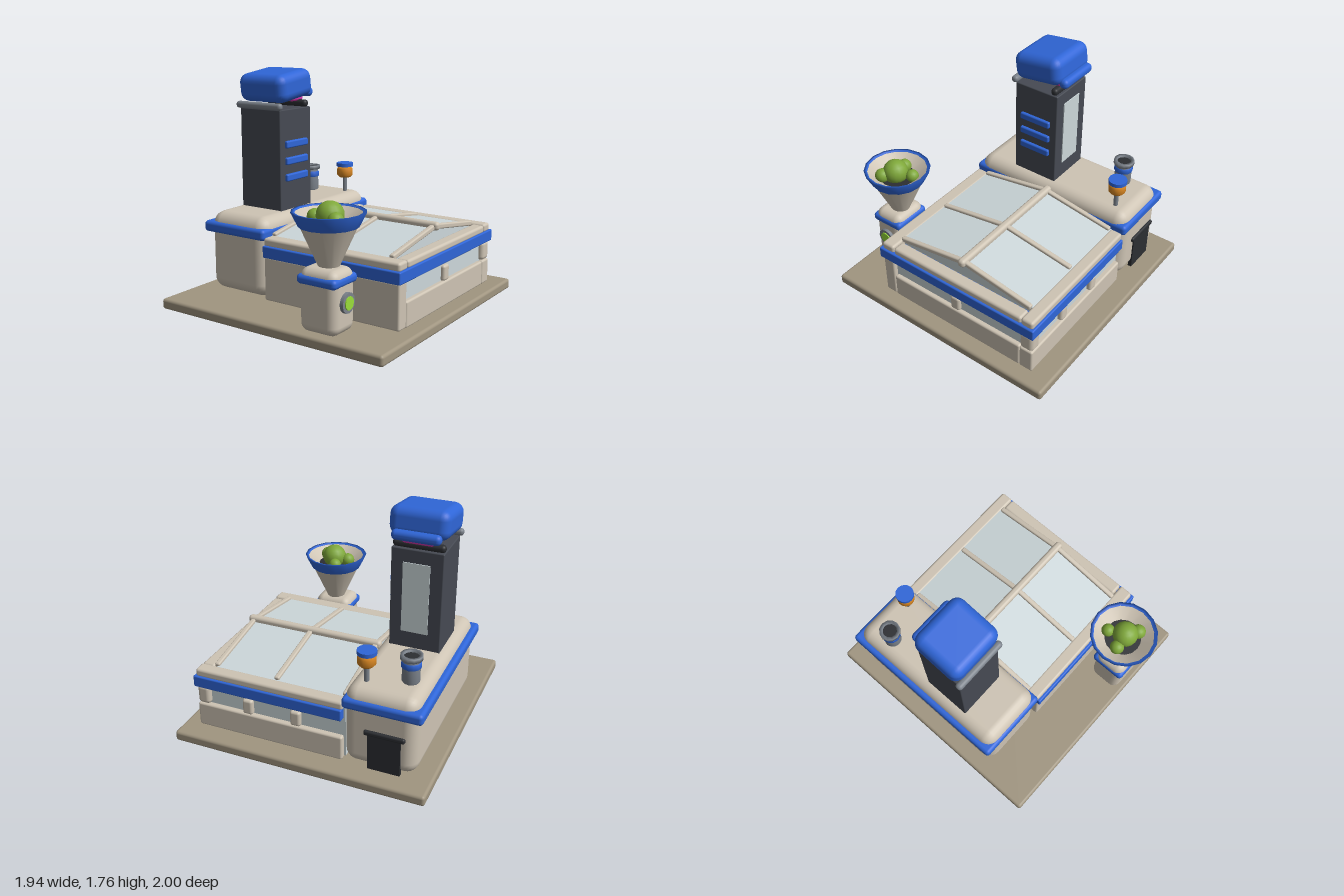
import * as THREE from 'three';
import { RoundedBoxGeometry } from 'three/addons/geometries/RoundedBoxGeometry.js';

const mat = (color, extra = {}) => new THREE.MeshStandardMaterial({ color, ...extra });
const M = {
  cream: mat(0xcec4b4), base: mat(0xa09580), blue: mat(0x2f66d8), glass: mat(0xcdd8db),
  slate: mat(0x464a53), grey: mat(0x7c838c), black: mat(0x2c2e32), orange: mat(0xd98722),
  green: mat(0x7fa83a), lime: mat(0x9ade3a), pink: mat(0xe03ab4),
  creamOpen: mat(0xcec4b4, { side: THREE.DoubleSide }),
  blueOpen: mat(0x2f66d8, { side: THREE.DoubleSide }),
  greyOpen: mat(0x7c838c, { side: THREE.DoubleSide }),
  glassOpen: mat(0xcdd8db, { side: THREE.DoubleSide }),
};

export function createModel() {
  const root = new THREE.Group();
  root.name = 'greenhouseWorkshop';

  const add = (parent, name, geo, material, x = 0, y = 0, z = 0) => {
    const m = new THREE.Mesh(geo, material);
    m.name = name;
    m.position.set(x, y, z);
    parent.add(m);
    return m;
  };
  // Rounded box given by its limits on each axis
  const box = (parent, name, material, [x0, x1], [y0, y1], [z0, z1], r = 0.015) => {
    const w = x1 - x0, h = y1 - y0, d = z1 - z0;
    const geo = r > 0
      ? new RoundedBoxGeometry(w, h, d, 3, Math.min(r, w * 0.49, h * 0.49, d * 0.49))
      : new THREE.BoxGeometry(w, h, d);
    return add(parent, name, geo, material, (x0 + x1) / 2, (y0 + y1) / 2, (z0 + z1) / 2);
  };
  const cyl = (parent, name, material, rTop, rBottom, y0, y1, x, z, sides = 16) =>
    add(parent, name, new THREE.CylinderGeometry(rTop, rBottom, y1 - y0, sides), material, x, (y0 + y1) / 2, z);
  const lathe = (parent, name, material, points, x, z, sides = 16) =>
    add(parent, name, new THREE.LatheGeometry(points.map(p => new THREE.Vector2(...p)), sides), material, x, 0, z);
  const group = name => {
    const g = new THREE.Group();
    g.name = name;
    root.add(g);
    return g;
  };

  box(root, 'basePlate', M.base, [-0.97, 0.97], [0, 0.08], [-1, 0.94], 0.022);

  // Machine house with band and rear door
  const house = group('machineHouse');
  box(house, 'houseBody', M.cream, [-0.85, -0.31], [0.08, 0.69], [-0.84, 0.53], 0.095);
  box(house, 'houseBand', M.blue, [-0.89, -0.305], [0.53, 0.615], [-0.86, 0.55], 0.028);
  box(house, 'rearDoor', M.black, [-0.74, -0.5], [0.08, 0.37], [-0.85, -0.82], 0);
  box(house, 'doorHeader', M.black, [-0.77, -0.47], [0.355, 0.395], [-0.86, -0.82], 0.015);

  // Greenhouse walls
  const green = group('greenhouse');
  box(green, 'wallGlass', M.glass, [-0.32, 0.815], [0.1, 0.5], [-0.8, 0.46], 0);
  box(green, 'frontWall', M.cream, [-0.305, 0.85], [0.085, 0.42], [0.44, 0.54]);
  box(green, 'rightLowWall', M.cream, [0.75, 0.85], [0.08, 0.27], [-0.73, 0.44]);
  box(green, 'backLowWall', M.cream, [-0.305, 0.85], [0.08, 0.27], [-0.84, -0.73]);
  box(green, 'cornerPost', M.cream, [0.75, 0.85], [0.27, 0.42], [-0.84, -0.73], 0.03);
  box(green, 'rightMullion', M.cream, [0.79, 0.845], [0.265, 0.385], [-0.185, -0.105], 0.02);
  for (const x of [0.06, 0.44])
    box(green, 'backMullion', M.cream, [x - 0.04, x + 0.04], [0.265, 0.385], [-0.835, -0.78], 0.02);
  box(green, 'greenhouseBand', M.blue, [-0.305, 0.865], [0.415, 0.505], [-0.855, 0.56], 0.01);
  box(green, 'frontBeam', M.cream, [-0.31, 0.85], [0.495, 0.56], [0.43, 0.54], 0.02);
  box(green, 'backBeam', M.cream, [-0.31, 0.85], [0.495, 0.56], [-0.84, -0.74], 0.02);
  box(green, 'rightBeam', M.cream, [0.75, 0.85], [0.495, 0.555], [-0.74, 0.425], 0.02);

  // Pitched glass roof with gable end, rafters and ridge
  const ridgeZ = -0.15, ridgeY = 0.65, eaveY = 0.555;
  const gable = new THREE.Shape([[-0.45, 0.5], [0.75, 0.5], [0.75, eaveY], [-ridgeZ, ridgeY], [-0.45, eaveY]]
    .map(p => new THREE.Vector2(...p)));
  const roof = add(green, 'roofGlass', new THREE.ExtrudeGeometry(gable, { depth: 1.03, bevelEnabled: false }), M.glassOpen, -0.31);
  roof.rotation.y = Math.PI / 2;
  for (const eaveZ of [0.44, -0.74]) {
    const dz = ridgeZ - eaveZ, dy = ridgeY - eaveY;
    for (const x of [-0.29, 0.24, 0.725]) {
      const rafter = add(green, 'rafter', new RoundedBoxGeometry(0.04, 0.04, Math.hypot(dz, dy), 2, 0.012),
        M.cream, x, (eaveY + ridgeY) / 2 + 0.003, (eaveZ + ridgeZ) / 2);
      rafter.rotation.x = -Math.atan(dy / dz);
    }
  }
  box(green, 'ridgeBeam', M.cream, [-0.33, 0.77], [0.625, 0.688], [-0.18, -0.12], 0.025);

  // Tower with vents, rear panel and tilted cap
  const tower = group('tower');
  box(tower, 'towerBody', M.slate, [-0.775, -0.39], [0.66, 1.46], [-0.155, 0.225], 0.008);
  box(tower, 'rearPanel', M.glass, [-0.68, -0.48], [0.82, 1.36], [-0.162, -0.14], 0);
  for (const y of [0.938, 1.066, 1.194])
    box(tower, 'ventSlat', M.blue, [-0.41, -0.367], [y - 0.028, y + 0.028], [-0.097, 0.167], 0.012);
  const roller = (name, material, x0, x1, y, z, r) =>
    box(tower, name, material, [x0, x1], [y - r, y + r], [z - r, z + r], r * 0.9);
  roller('frontRoller', M.grey, -0.8, -0.367, 1.485, 0.23, 0.027);
  roller('rearRoller', M.black, -0.775, -0.39, 1.485, -0.115, 0.028);
  const cap = add(tower, 'towerCap', new RoundedBoxGeometry(0.44, 0.215, 0.405, 3, 0.07), M.blue, -0.58, 1.632, 0.033);
  cap.rotation.x = 0.13;
  roller('capLip', M.blue, -0.76, -0.4, 1.57, -0.185, 0.037);
  box(tower, 'glowStrip', M.pink, [-0.7, -0.46], [1.5, 1.57], [-0.165, -0.025], 0.025);

  // Exhaust pipe
  const pipe = group('exhaustPipe');
  const px = -0.71, pz = -0.585;
  lathe(pipe, 'pipeBody', M.greyOpen, [[0.05, 0.68], [0.065, 0.7], [0.065, 0.86], [0.045, 0.88]], px, pz, 12);
  lathe(pipe, 'pipeBand', M.blue, [[0.06, 0.8], [0.072, 0.81], [0.072, 0.845], [0.06, 0.855]], px, pz, 12);
  lathe(pipe, 'pipeRim', M.greyOpen, [[0.055, 0.87], [0.08, 0.87], [0.08, 0.9], [0.055, 0.9], [0.055, 0.86]], px, pz, 12);
  cyl(pipe, 'pipeOpening', M.black, 0.056, 0.056, 0.86, 0.885, px, pz, 12);

  // Warning lamp
  const lamp = group('lamp');
  const lx = -0.43, lz = -0.695;
  cyl(lamp, 'lampStem', M.grey, 0.018, 0.018, 0.66, 0.83, lx, lz, 10);
  lathe(lamp, 'lampBulb', M.orange, [[0, 0.81], [0.048, 0.81], [0.066, 0.83], [0.066, 0.88], [0.05, 0.9], [0, 0.9]], lx, lz);
  cyl(lamp, 'lampCap', M.blue, 0.07, 0.07, 0.902, 0.932, lx, lz);

  // Feed hopper in front of the greenhouse
  const hopper = group('hopper');
  const hx = 0.425, hz = 0.745;
  box(hopper, 'hopperBody', M.cream, [0.27, 0.575], [0.08, 0.53], [0.637, 0.893], 0.065);
  box(hopper, 'hopperBand', M.blue, [0.263, 0.583], [0.415, 0.485], [0.625, 0.905], 0.03);
  lathe(hopper, 'funnel', M.creamOpen, [[0.07, 0.52], [0.2, 0.81]], hx, hz);
  lathe(hopper, 'funnelLining', M.creamOpen, [[0.12, 0.81], [0.235, 0.895]], hx, hz);
  lathe(hopper, 'funnelRim', M.blueOpen, [[0.195, 0.8], [0.205, 0.8], [0.255, 0.9], [0.232, 0.9], [0.225, 0.88]], hx, hz);
  cyl(hopper, 'funnelFloor', M.black, 0.14, 0.14, 0.81, 0.825, hx, hz);
  for (const [x, y, z, r] of [[0.44, 0.875, 0.75, 0.097], [0.385, 0.855, 0.63, 0.05], [0.325, 0.855, 0.765, 0.054], [0.525, 0.86, 0.81, 0.056]])
    add(hopper, 'fruit', new THREE.SphereGeometry(r, 16, 12), M.green, x, y, z);
  // Round window and feed tube
  for (const [name, material, r, end] of [['windowFrame', M.grey, 0.072, 0.6], ['windowGlow', M.lime, 0.048, 0.608]]) {
    const disc = add(hopper, name, new THREE.CylinderGeometry(r, r, end - 0.55, 12), material, (end + 0.55) / 2, 0.305, 0.765);
    disc.rotation.z = Math.PI / 2;
  }
  const tube = add(hopper, 'feedTube', new THREE.CylinderGeometry(0.045, 0.045, 0.13, 12), M.grey, hx, 0.305, 0.59);
  tube.rotation.x = Math.PI / 2;

  return root;
}
